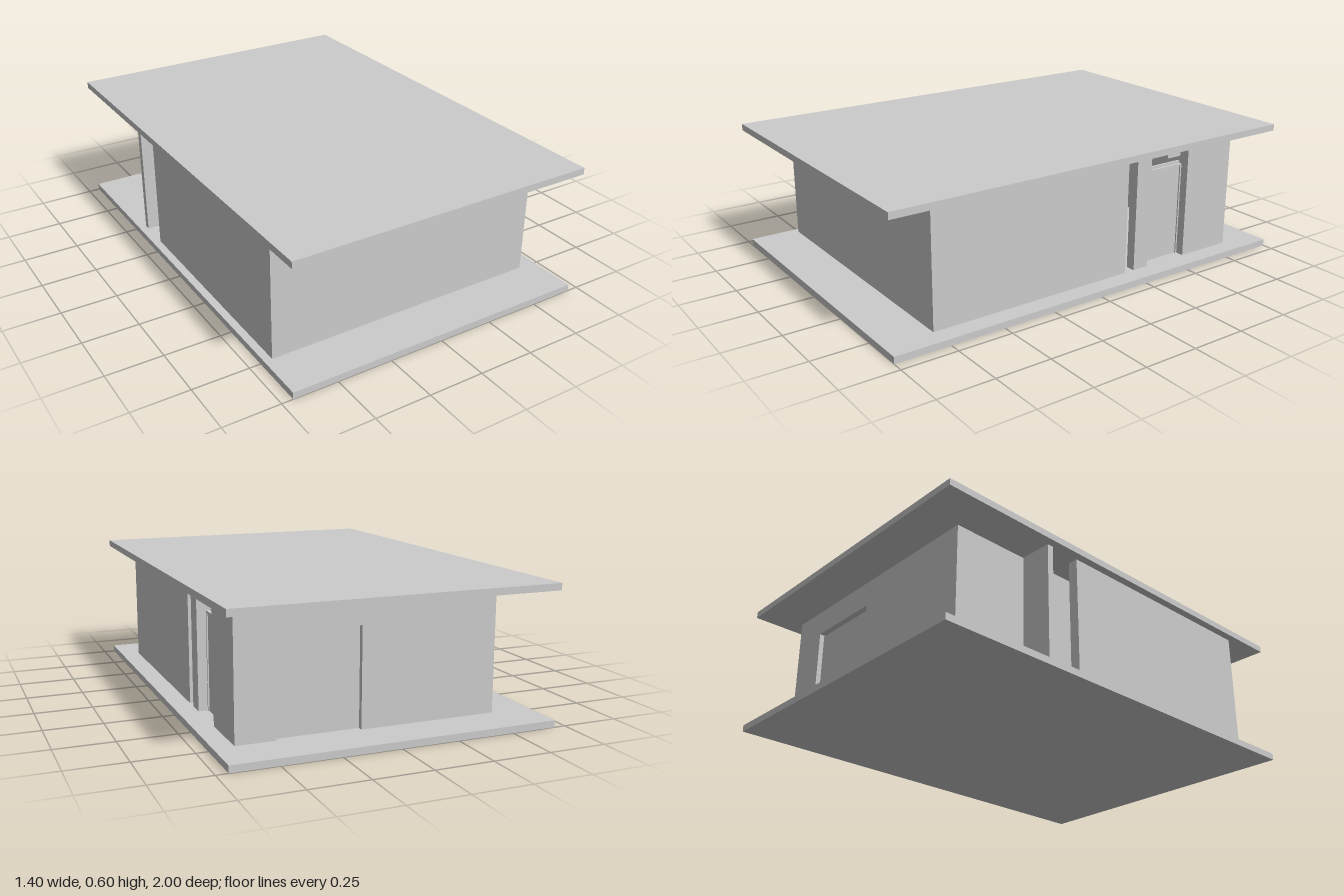
import * as THREE from 'three';

export function createModel() {
  const model = new THREE.Group();
  const material = new THREE.MeshStandardMaterial({ color: 0xcccccc, flatShading: true });

  // Box given by its limits along each axis
  function block(name, [x0, x1], [y0, y1], [z0, z1]) {
    const mesh = new THREE.Mesh(new THREE.BoxGeometry(x1 - x0, y1 - y0, z1 - z0), material);
    mesh.position.set((x0 + x1) / 2, (y0 + y1) / 2, (z0 + z1) / 2);
    mesh.name = name;
    model.add(mesh);
  }

  const floor = 0.03, ceiling = 0.57, t = 0.045;
  const left = 0.615, right = -0.665, front = 0.78, back = -0.81, inner = -0.52;
  const full = [floor, ceiling];

  // Floor and roof slabs
  block('floorSlab', [-0.7, 0.7], [0, floor], [-1, 1]);
  block('roofSlab', [-0.7, 0.7], [ceiling, 0.6], [-1, 1]);

  // Front wall and the two long side walls
  block('frontWall', [right, left], full, [front - t, front]);
  block('leftWall', [left - t, left], full, [-0.2, front - t]);
  block('rightWall', [right, right + t], full, [-0.285, front - t]);

  // Left side behind the slot: pier and rear corner wall
  block('leftPier', [left - t, left], full, [-0.33, -0.25]);
  block('leftRearWall', [left - t, left], full, [back, -0.547]);

  // Stepped-in right rear corner with its short screen wall
  block('rightRearWall', [inner, inner + t], full, [back, -0.1]);
  block('screenWall', [right, inner], full, [-0.454, -0.425]);

  // Back wall around a wide doorway
  const doorway = [0.085, 0.445], doorTop = 0.455;
  block('backWallInner', [inner + t, doorway[0]], full, [back, back + t]);
  block('backWallOuter', [doorway[1], left - t], full, [back, back + t]);
  block('backLintel', doorway, [doorTop, ceiling], [back, back + t]);
  block('backDoor', doorway, [floor, doorTop - 0.005], [back + 0.022, back + t]);

  // Side door leaf with a thin frame
  const doorX = [left - t - 0.02, left - t];
  const frameX = [left - t - 0.025, left - t + 0.006];
  block('sideDoor', doorX, [floor, 0.45], [-0.54, -0.342]);
  for (const z of [-0.547, -0.342]) block('sideDoorJamb', frameX, [floor, 0.455], [z, z + 0.007]);
  block('sideDoorHead', frameX, [0.453, 0.462], [-0.547, -0.335]);

  // Door closer above the side door
  block('closerArm', [0.55, 0.562], [0.462, 0.472], [-0.547, -0.36]);
  block('closerBody', [0.54, 0.565], [0.495, 0.515], [-0.547, -0.472]);

  return model;
}
